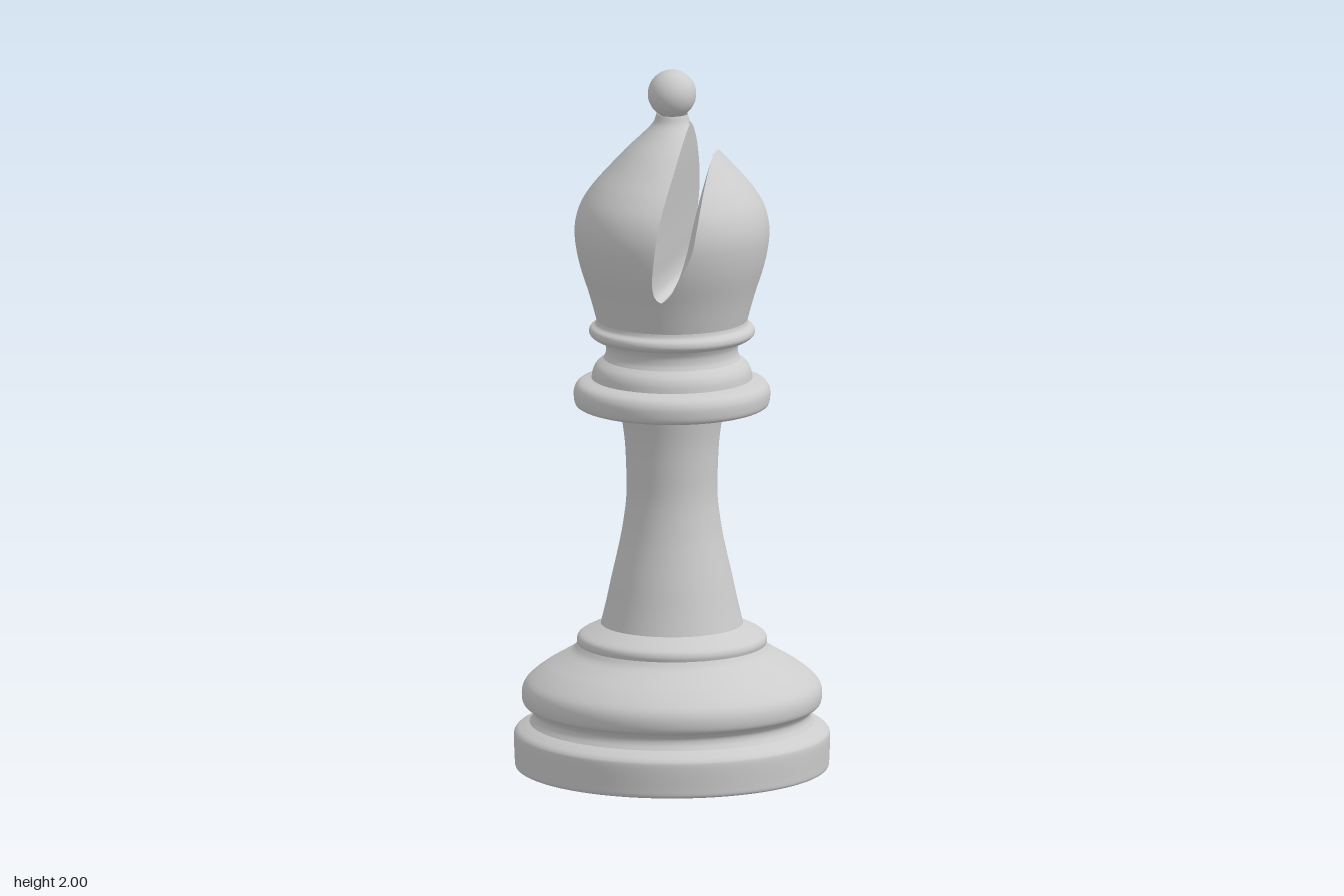
import * as THREE from 'three';
import { ParametricGeometry } from 'three/addons/geometries/ParametricGeometry.js';

const SEGMENTS = 96;

// Smooth curve value(y) through [y, value] pairs
function smooth(pts) {
  const slope = (i) => {
    const p = pts[Math.max(i - 1, 0)], q = pts[Math.min(i + 1, pts.length - 1)];
    return (q[1] - p[1]) / (q[0] - p[0]);
  };
  return (y) => {
    let i = 0;
    while (i < pts.length - 2 && y > pts[i + 1][0]) i++;
    const [y0, a] = pts[i], [y1, b] = pts[i + 1], h = y1 - y0;
    const t = THREE.MathUtils.clamp((y - y0) / h, 0, 1), t2 = t * t, t3 = t2 * t;
    return a * (2 * t3 - 3 * t2 + 1) + b * (3 * t2 - 2 * t3)
      + slope(i) * h * (t3 - 2 * t2 + t) + slope(i + 1) * h * (t3 - t2);
  };
}

// Head radius, and slot edges: inner face, outer face at mid-depth, outer face at the rim
const headRadius = smooth([[1.285, 0.212], [1.36, 0.233], [1.45, 0.261], [1.52, 0.273], [1.57, 0.271],
  [1.62, 0.255], [1.67, 0.222], [1.72, 0.178], [1.775, 0.127], [1.82, 0.08], [1.85, 0.053], [1.875, 0.044]]);
const slotInner = smooth([[1.38, 0.022], [1.388, 0.01], [1.405, 0.002], [1.44, 0], [1.5, 0.007],
  [1.6, 0.02], [1.75, 0.042], [1.86, 0.055]]);
const slotOuter = smooth([[1.38, 0.022], [1.39, 0.036], [1.42, 0.048], [1.45, 0.06], [1.6, 0.092], [1.775, 0.127]]);
const slotRim = smooth([[1.38, 0.022], [1.39, 0.037], [1.42, 0.06], [1.52, 0.11], [1.6, 0.124], [1.66, 0.127], [1.775, 0.127]]);
const SLOT_BOTTOM = 1.38;

// Half angle at which the vertical line x meets the head at height y
const rimAngle = (x, y) => Math.acos(Math.min(x / headRadius(y), 1));

export function createModel() {
  const group = new THREE.Group();
  const material = new THREE.MeshStandardMaterial({ color: 0xcccccc, side: THREE.DoubleSide });
  const add = (name, geometry) => {
    const mesh = new THREE.Mesh(geometry, material);
    mesh.name = name;
    group.add(mesh);
    return mesh;
  };

  // Turned parts: [radius, y] profiles from bottom to top, optionally splined
  const turned = (name, pts, curved = true) => {
    let profile = pts.map(([r, y]) => new THREE.Vector2(r, y));
    if (curved) profile = new THREE.SplineCurve(profile).getPoints(pts.length * 5);
    add(name, new THREE.LatheGeometry(profile, SEGMENTS));
  };
  turned('underside', [[0, 0], [0.43, 0]], false);
  turned('baseRing', [[0.43, 0], [0.44, 0.006], [0.442, 0.03], [0.444, 0.09], [0.438, 0.108], [0.42, 0.12], [0.4, 0.13]]);
  turned('baseGroove', [[0.4, 0.13], [0.391, 0.145], [0.39, 0.16], [0.4, 0.174]]);
  turned('baseBulge', [[0.4, 0.174], [0.417, 0.185], [0.422, 0.21], [0.417, 0.235], [0.4, 0.257],
    [0.36, 0.288], [0.315, 0.315], [0.28, 0.337], [0.265, 0.355]]);
  turned('baseStep', [[0.265, 0.355], [0.267, 0.368], [0.26, 0.382], [0.235, 0.396], [0.2, 0.413]]);
  turned('stem', [[0.2, 0.413], [0.185, 0.475], [0.17, 0.545], [0.153, 0.62], [0.139, 0.69], [0.128, 0.78],
    [0.129, 0.87], [0.134, 0.95], [0.147, 1.035]]);
  turned('collarUnderside', [[0.14, 1.035], [0.255, 1.035]], false);
  turned('collar', [[0.255, 1.035], [0.271, 1.043], [0.276, 1.065], [0.274, 1.088], [0.26, 1.106], [0.226, 1.118]]);
  turned('upperCollar', [[0.226, 1.118], [0.222, 1.14], [0.212, 1.158], [0.192, 1.175]]);
  turned('neckGroove', [[0.192, 1.175], [0.186, 1.19], [0.186, 1.21], [0.194, 1.228]]);
  turned('neckRing', [[0.194, 1.228], [0.218, 1.233], [0.232, 1.246], [0.23, 1.262], [0.216, 1.273], [0.212, 1.285]]);

  // Head: whole below the slot, then two cheeks with a wall each
  const strip = (name, y0, y1, point, slices = 48) => add(name, new ParametricGeometry((u, v, target) => {
    const y = THREE.MathUtils.lerp(y0, y1, v);
    const [x, z] = point(u, y);
    target.set(x, y, z);
  }, slices, 72));
  const arc = (from, to) => (u, y) => {
    const angle = THREE.MathUtils.lerp(from(y), to(y), u), r = headRadius(y);
    return [r * Math.cos(angle), -r * Math.sin(angle)];
  };
  const depth = (x, y) => Math.sqrt(Math.max(headRadius(y) ** 2 - x * x, 1e-8));

  strip('headBase', 1.285, SLOT_BOTTOM, arc(() => 0, () => 2 * Math.PI), SEGMENTS);
  strip('largeCheek', SLOT_BOTTOM, 1.875,
    arc((y) => rimAngle(slotInner(y), y), (y) => 2 * Math.PI - rimAngle(slotInner(y), y)), SEGMENTS);
  strip('smallCheek', SLOT_BOTTOM, 1.775,
    arc((y) => -rimAngle(slotRim(y), y), (y) => rimAngle(slotRim(y), y)));
  strip('slotInnerWall', SLOT_BOTTOM, 1.852, (u, y) => {
    const x = slotInner(y);
    return [Math.min(x, headRadius(y)), depth(x, y) * (1 - 2 * u)];
  });
  // The outer wall flares towards both rims
  strip('slotOuterWall', SLOT_BOTTOM, 1.775, (u, y) => {
    const s = 2 * u - 1;
    const x = THREE.MathUtils.lerp(slotOuter(y), slotRim(y), s ** 4);
    return [x, depth(slotRim(y), y) * s];
  });

  // Ball on top
  add('finial', new THREE.SphereGeometry(0.068, 48, 32)).position.y = 1.932;
  return group;
}
